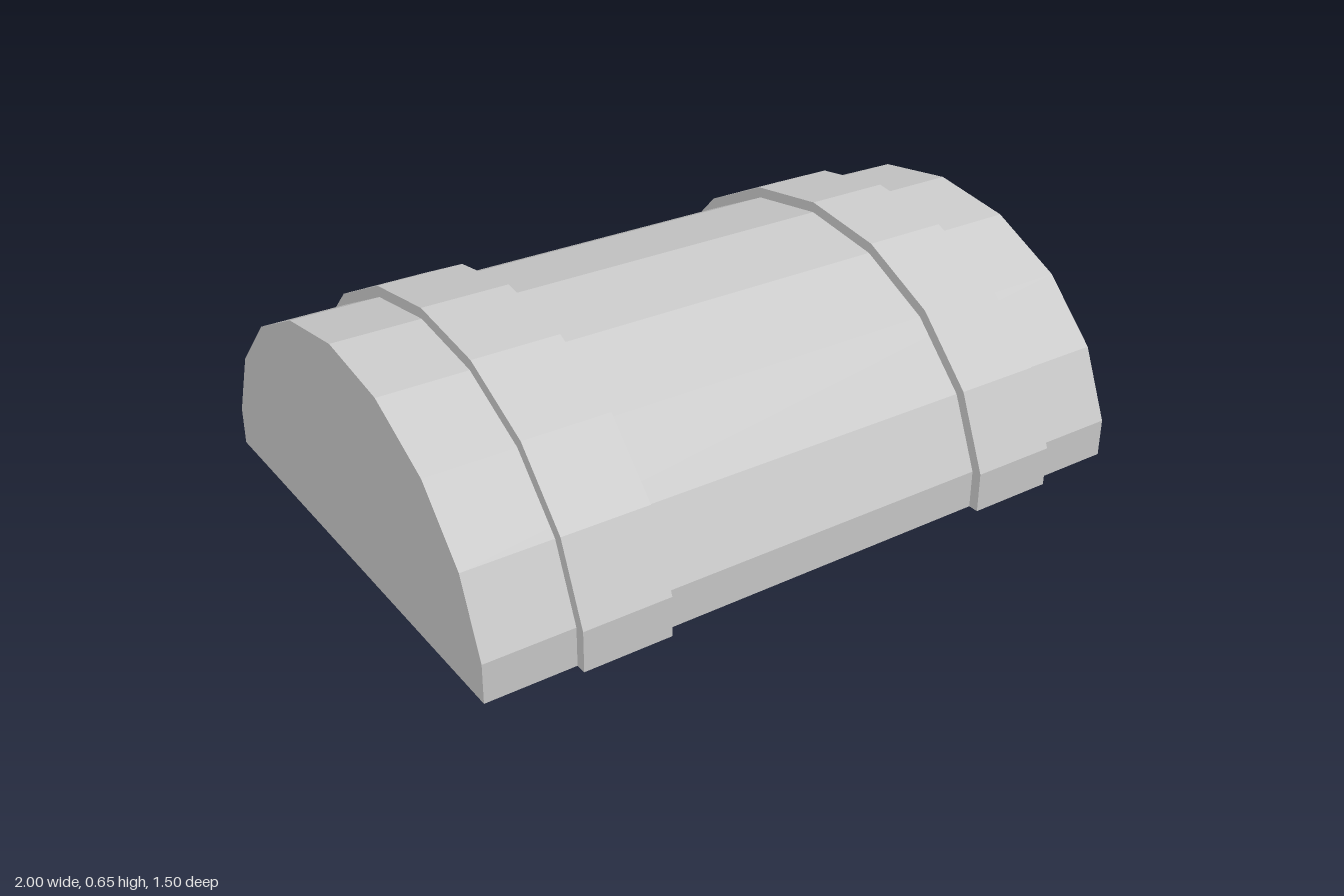
import * as THREE from 'three';

// Half outlines of the arched section as [z, y], from the base up to the ridge
const BODY = [[0.72, 0], [0.72, 0.11], [0.635, 0.31], [0.472, 0.475], [0.25, 0.583], [0, 0.62]];
const BAND = [[0.75, 0], [0.75, 0.115], [0.66, 0.327], [0.49, 0.5], [0.257, 0.613], [0, 0.65]];

// Complete an outline by mirroring its half
function arch(half) {
  const mirrored = half.slice(0, -1).reverse().map(([z, y]) => [-z, y]);
  return [...half, ...mirrored].map(([z, y]) => new THREE.Vector2(z, y));
}

// Extrude an outline along x, centred on the given x
function extrudeAlongX(name, points, width, x, material) {
  const geometry = new THREE.ExtrudeGeometry(new THREE.Shape(points), { depth: width, bevelEnabled: false });
  geometry.translate(0, 0, -width / 2).rotateY(Math.PI / 2);
  const mesh = new THREE.Mesh(geometry, material);
  mesh.name = name;
  mesh.position.x = x;
  return mesh;
}

export function createModel() {
  const model = new THREE.Group();
  model.name = 'archedLid';
  const material = new THREE.MeshStandardMaterial({ color: 0xcccccc, flatShading: true });

  // Solid faceted half barrel
  model.add(extrudeAlongX('lidBody', arch(BODY), 2, 0, material));

  // Raised straps that wrap over the body
  const strap = [...arch(BAND), ...arch(BODY).reverse()];
  for (const [name, side] of [['leftStrap', 1], ['rightStrap', -1]]) {
    model.add(extrudeAlongX(name, strap, 0.25, side * 0.625, material));
  }
  return model;
}
